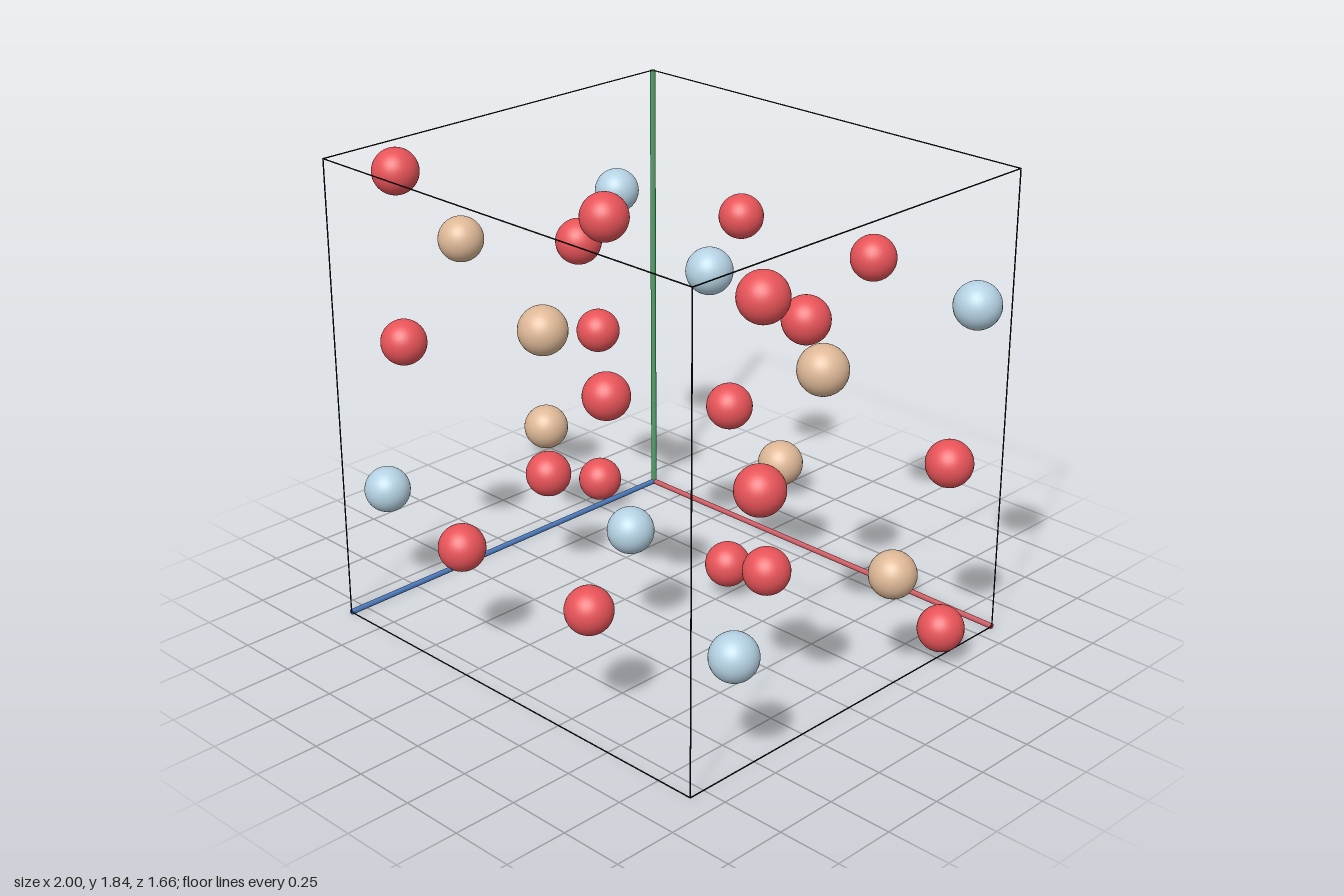
import * as THREE from 'three';

// Half sizes of the cell, its centre, and the part radii
const HX = 0.9115, HY = 0.9115, HZ = 0.823;
const CY = 0.9225, CZ = 0.003;
const ATOM_R = 0.0885, EDGE_R = 0.0025, AXIS_R = 0.011;

function material(name, color) {
  const m = new THREE.MeshStandardMaterial({ color });
  m.name = name;
  return m;
}

export function createModel() {
  const red = material('red atom', 0xe95459);
  const tan = material('tan atom', 0xdeb897);
  const paleBlue = material('pale blue atom', 0xb5d2e3);
  const black = material('black edge', 0x101010);
  const axisRed = material('red axis', 0xcc5a62);
  const axisGreen = material('green axis', 0x52a068);
  const axisBlue = material('blue axis', 0x4c7abc);

  // Everything is placed relative to the middle of the cell
  const model = new THREE.Group();
  model.name = 'crystalCell';
  model.position.set(0, CY, CZ);

  // Atoms: the lower half repeats the upper half inverted through the centre
  const atoms = new THREE.Group();
  atoms.name = 'atoms';
  model.add(atoms);
  const sphere = new THREE.SphereGeometry(ATOM_R, 32, 24);
  function atom(name, mat, x, y, z) {
    for (const sx of x === 0 ? [1] : [-1, 1]) {
      for (const s of [1, -1]) {
        const mesh = new THREE.Mesh(sphere, mat);
        mesh.name = name;
        mesh.position.set(sx * x, s * y, s * z);
        atoms.add(mesh);
      }
    }
  }
  const mid = HY / 2;
  atom('tanAtom', tan, 0, mid, HZ * 0.75);
  atom('tanAtom', tan, HX, mid, HZ * 0.25);
  atom('paleBlueAtom', paleBlue, 0, mid, -HZ * 0.25);
  atom('paleBlueAtom', paleBlue, HX, mid, -HZ * 0.75);
  atom('redAtom', red, 0.336, mid, -0.735);
  atom('redAtom', red, 0.575, mid, -0.09);
  for (const dy of [-0.3365, 0.3365]) {
    atom('redAtom', red, HX, mid + dy, 0.503);
    atom('redAtom', red, 0, mid + dy, 0.321);
  }

  // Rods run along one axis; the other two coordinates sit at the cell's sides
  const half = [HX, HY, HZ];
  const axisMaterials = [axisRed, axisGreen, axisBlue];
  for (let axis = 0; axis < 3; axis++) {
    const u = (axis + 1) % 3, v = (axis + 2) % 3;
    for (const su of [-1, 1]) {
      for (const sv of [-1, 1]) {
        // The three edges meeting at the origin corner are the coloured axes
        const isAxis = su < 0 && sv < 0;
        const r = isAxis ? AXIS_R : EDGE_R;
        const rod = new THREE.Mesh(
          new THREE.CylinderGeometry(r, r, half[axis] * 2, isAxis ? 16 : 8),
          isAxis ? axisMaterials[axis] : black);
        rod.name = isAxis ? ['xAxis', 'yAxis', 'zAxis'][axis] : 'cellEdge';
        if (axis === 0) rod.rotation.z = -Math.PI / 2;
        if (axis === 2) rod.rotation.x = Math.PI / 2;
        const p = [0, 0, 0];
        p[u] = su * half[u];
        p[v] = sv * half[v];
        rod.position.fromArray(p);
        model.add(rod);
      }
    }
  }

  const root = new THREE.Group();
  root.name = 'crystalModel';
  root.add(model);
  return root;
}
